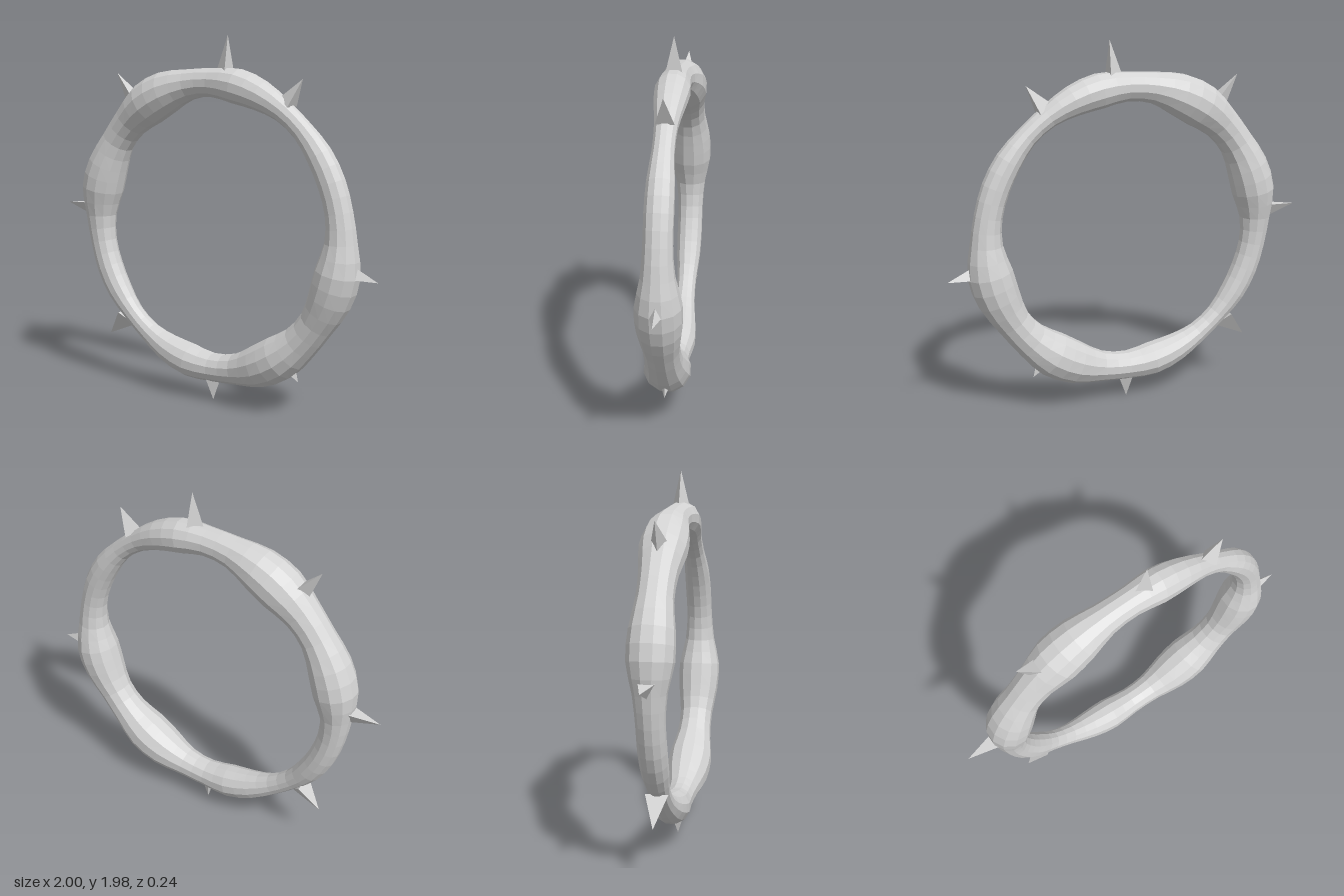
import * as THREE from 'three';

const CENTER_Y = 0.96, CENTER_X = 0.017, RING = 0.773;
const SEGMENTS = 64, SIDES = 12;

// Branch thickness over half the ring; the other half repeats it.
const THICKNESS = [0.084, 0.072, 0.072, 0.068, 0.055, 0.058, 0.078, 0.09,
  0.076, 0.082, 0.112, 0.12, 0.097, 0.092, 0.112, 0.116];

function thicknessAt(turn) {
  const n = THICKNESS.length;
  const t = turn * 2 * n, i = Math.floor(t), f = t - i;
  const p = (k) => THICKNESS[(i + k + n) % n];
  const a = p(-1), b = p(0), c = p(1), d = p(2);
  return b + 0.5 * f * (c - a + f * (2 * a - 5 * b + 4 * c - d + f * (3 * (b - c) + d - a)));
}

// Lumpy ring: a torus whose tube swells and narrows, with a flat facing outward.
function ringGeometry() {
  const positions = [], index = [];
  for (let i = 0; i < SEGMENTS; i++) {
    const turn = i / SEGMENTS, a = turn * Math.PI * 2;
    const r = thicknessAt(turn) * 1.02;
    for (let j = 0; j < SIDES; j++) {
      const b = ((j + 0.5) / SIDES) * Math.PI * 2;
      const radius = RING + r * Math.cos(b);
      positions.push(radius * Math.cos(a), radius * Math.sin(a), r * Math.sin(b));
      const i2 = (i + 1) % SEGMENTS, j2 = (j + 1) % SIDES;
      const p = i * SIDES + j, q = i2 * SIDES + j, s = i2 * SIDES + j2, t = i * SIDES + j2;
      index.push(p, q, s, p, s, t);
    }
  }
  const g = new THREE.BufferGeometry();
  g.setAttribute('position', new THREE.Float32BufferAttribute(positions, 3));
  g.setIndex(index);
  const flat = g.toNonIndexed();
  flat.computeVertexNormals();
  return flat;
}

// Thorns: angle in degrees, tip distance, base radius.
const THORNS = [
  [84.8, 1.024, 0.056], [56.1, 0.972, 0.056], [128.6, 1.03, 0.062], [177.2, 1.018, 0.058],
  [223.9, 0.997, 0.068], [270.2, 0.957, 0.051], [305.3, 0.932, 0.047], [350, 0.998, 0.051],
];
const THORN_BASE = 0.82;

export function createModel() {
  const group = new THREE.Group();
  group.name = 'thornRing';
  const paleGrey = new THREE.MeshStandardMaterial({ color: 0xd4d4d4, flatShading: true });
  paleGrey.name = 'paleGrey';

  const ring = new THREE.Mesh(ringGeometry(), paleGrey);
  ring.name = 'ring';
  group.add(ring);

  THORNS.forEach(([degrees, tip, radius], i) => {
    const height = tip - THORN_BASE;
    const cone = new THREE.ConeGeometry(radius, height, 3);
    cone.rotateY(-Math.PI / 2);
    cone.translate(0, THORN_BASE + height / 2, 0);
    const thorn = new THREE.Mesh(cone, paleGrey);
    thorn.rotation.z = THREE.MathUtils.degToRad(degrees - 90);
    thorn.name = `thorn${i + 1}`;
    group.add(thorn);
  });

  group.children.forEach((part) => part.position.set(CENTER_X, CENTER_Y, 0));
  return group;
}
